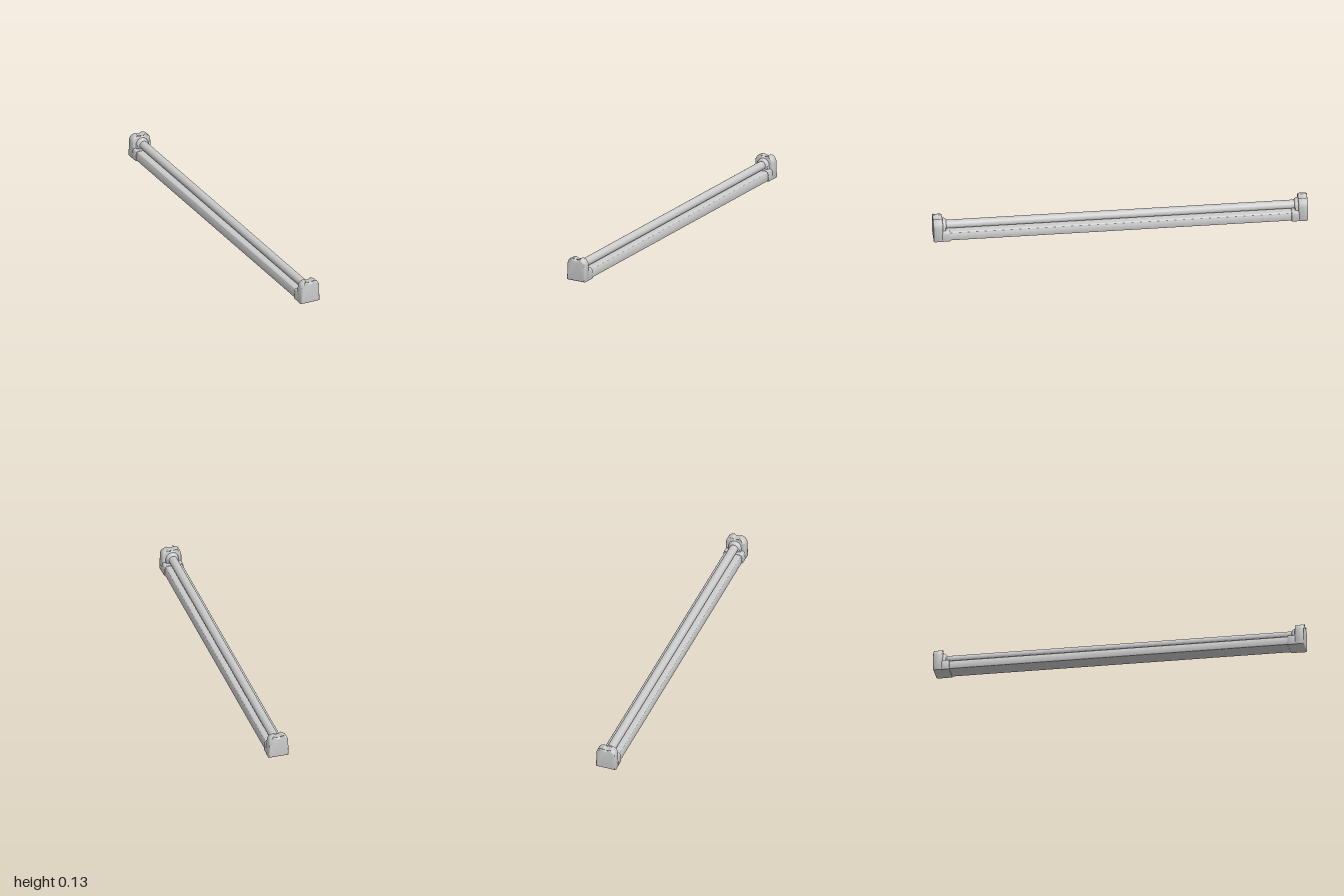
import * as THREE from 'three';
import { toCreasedNormals } from 'three/addons/utils/BufferGeometryUtils.js';

const material = new THREE.MeshStandardMaterial({ color: 0xcccccc });

// Upright outline with rounded top corners, small bottom corners and an optional dip in the top
function outline(halfWidth, bottom, top, radius, dip = 0) {
  const w = halfWidth, b = 0.005, t = w - 0.003;
  const s = new THREE.Shape();
  s.moveTo(-w + b, bottom);
  s.lineTo(w - b, bottom);
  s.quadraticCurveTo(w, bottom, w, bottom + b);
  s.lineTo(t, top - radius);
  s.bezierCurveTo(t, top - radius * 0.4, t - radius * 0.4, top, t - radius, top);
  if (dip) {
    s.lineTo(0.02, top);
    s.bezierCurveTo(0.01, top - dip * 1.3, -0.01, top - dip * 1.3, -0.02, top);
  }
  s.lineTo(-t + radius, top);
  s.bezierCurveTo(-t + radius * 0.4, top, -t, top - radius * 0.4, -t, top - radius);
  s.lineTo(-w, bottom + b);
  s.quadraticCurveTo(-w, bottom, -w + b, bottom);
  return s;
}

// Solid between two z positions, rounded at both ends
function extrude(name, shape, z0, z1, bevel) {
  const g = new THREE.ExtrudeGeometry(shape, {
    depth: z1 - z0 - 2 * bevel, curveSegments: 8, bevelEnabled: bevel > 0,
    bevelThickness: bevel, bevelSize: bevel, bevelOffset: -bevel, bevelSegments: 4
  });
  g.translate(0, 0, z0 + bevel);
  return named(name, toCreasedNormals(g, 0.7));
}

function named(name, geometry) {
  const mesh = new THREE.Mesh(geometry, material);
  mesh.name = name;
  return mesh;
}

// End holder: tall cap, low sleeve around the base, rounded socket for the tube
function endHolder(name) {
  const group = new THREE.Group();
  group.name = name;
  group.add(extrude('endCap', outline(0.057, 0, 0.125, 0.036, 0.007), 0.95, 1, 0.009));
  group.add(extrude('baseSleeve', outline(0.056, 0, 0.059, 0.014), 0.912, 0.975, 0.004));

  const socket = new THREE.LatheGeometry([
    [0.021, 0], [0.026, 0], [0.031, 0.003], [0.034, 0.009], [0.035, 0.02], [0.037, 0.026], [0.042, 0.03]
  ].map(([r, z]) => new THREE.Vector2(r, z)), 32);
  socket.rotateX(Math.PI / 2);
  socket.translate(0, 0.077, 0.93);
  group.add(named('tubeSocket', socket));

  // Filled neck joining the socket to the sleeve
  group.add(extrude('socketNeck', outline(0.038, 0.04, 0.085, 0.012), 0.933, 0.965, 0.004));
  return group;
}

export function createModel() {
  const model = new THREE.Group();
  model.name = 'tubeLamp';

  // Long base housing
  model.add(extrude('baseHousing', outline(0.052, 0.004, 0.055, 0.014), -0.96, 0.96, 0));

  // Light tube
  const tube = new THREE.CylinderGeometry(0.023, 0.023, 1.9, 32);
  tube.rotateX(Math.PI / 2);
  tube.translate(0, 0.077, 0);
  model.add(named('lightTube', tube));

  // Matching holders at both ends
  const back = endHolder('backHolder');
  back.rotation.y = Math.PI;
  model.add(endHolder('frontHolder'), back);

  // The whole lamp lies slightly askew
  model.rotation.y = 0.0045;
  return model;
}
